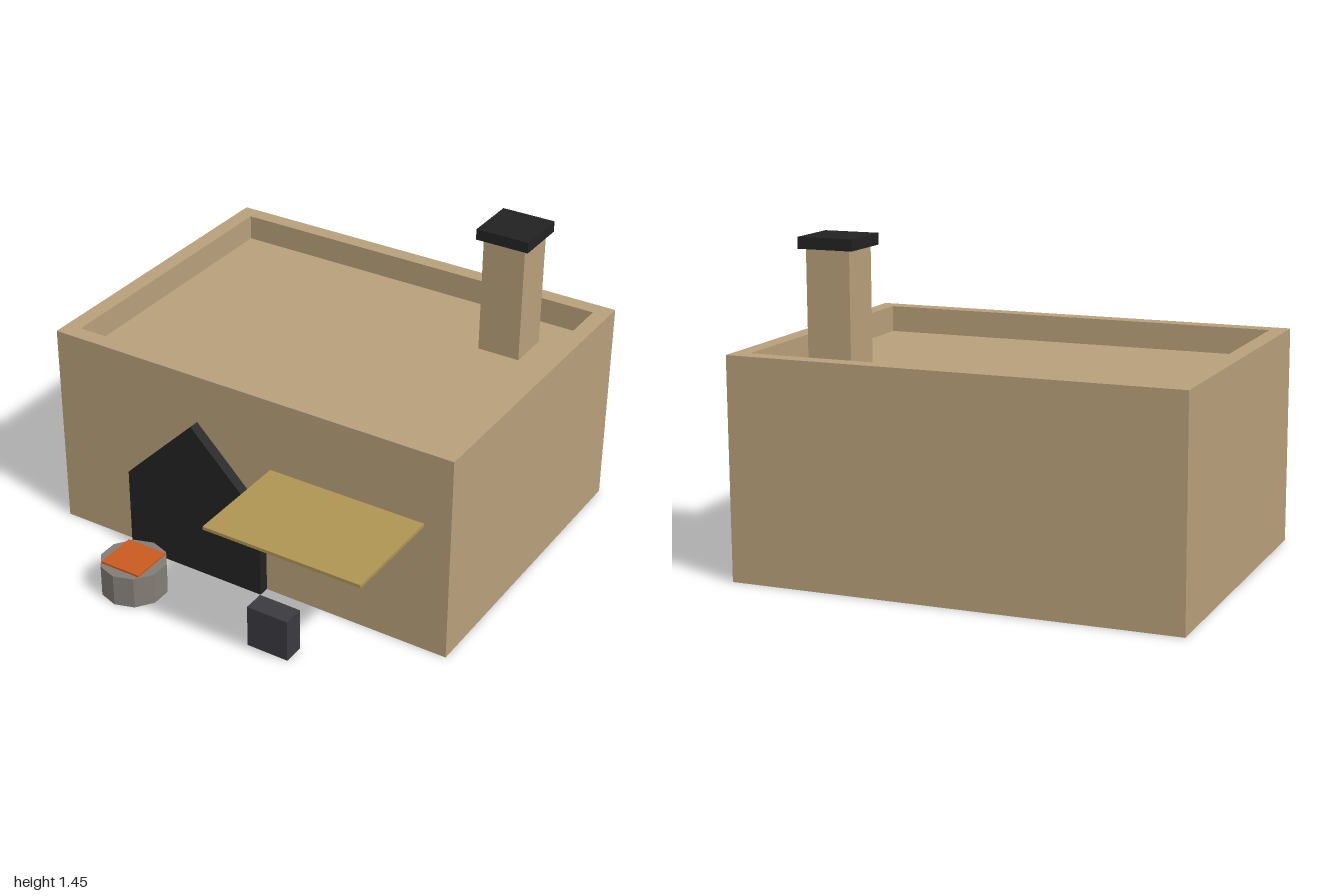
import * as THREE from 'three';

const material = (name, color) => {
  const m = new THREE.MeshStandardMaterial({ color });
  m.name = name;
  return m;
};

export function createModel() {
  const model = new THREE.Group();
  model.name = 'house';
  const clay = material('clay', 0xb8a07a);
  const black = material('black', 0x222222);
  const slate = material('slate', 0x3a3a40);
  const straw = material('straw', 0xae9553);
  const stone = material('stone', 0x827d76);
  const ember = material('ember', 0xc85a20);

  const add = (name, geometry, mat) => {
    const mesh = new THREE.Mesh(geometry, mat);
    mesh.name = name;
    model.add(mesh);
    return mesh;
  };
  // Box given by its low and high limits on each axis
  const box = (name, mat, [x0, x1], [y0, y1], [z0, z1]) =>
    add(name, new THREE.BoxGeometry(x1 - x0, y1 - y0, z1 - z0), mat)
      .position.set((x0 + x1) / 2, (y0 + y1) / 2, (z0 + z1) / 2);
  const corners = (x, y) => [[-x, -y], [x, -y], [x, y], [-x, y]].map(p => new THREE.Vector2(...p));

  // Walls rising past the roof as a parapet
  const plan = new THREE.Shape(corners(1, 0.75));
  plan.holes.push(new THREE.Path(corners(0.925, 0.675).reverse()));
  const walls = new THREE.ExtrudeGeometry(plan, { depth: 0.975, bevelEnabled: false });
  walls.rotateX(-Math.PI / 2);
  add('walls', walls, clay).position.z = -0.25;

  // Sunken flat roof, filled down to the ground
  box('roof', clay, [-0.925, 0.925], [0, 0.855], [-0.925, 0.425]);

  // Chimney
  box('chimney', clay, [0.55, 0.75], [0.855, 1.4], [-0.75, -0.55]);
  box('chimneyCap', black, [0.525, 0.775], [1.4, 1.45], [-0.775, -0.525]);

  // Pointed doorway
  const arch = new THREE.Shape([[-0.6, 0], [0.1, 0], [0.1, 0.4], [-0.25, 0.75], [-0.6, 0.4]]
    .map(p => new THREE.Vector2(...p)));
  add('doorway', new THREE.ExtrudeGeometry(arch, { depth: 0.05, bevelEnabled: false }), black)
    .position.z = 0.5;

  // Awning and the block beneath it
  box('awning', straw, [0.125, 0.875], [0.62, 0.635], [0.5, 1]);
  box('block', slate, [0.25, 0.45], [0, 0.2], [0.775, 0.875]);

  // Ten-sided fire pit with embers on top
  const pitStone = stone;
  pitStone.flatShading = true;
  add('firePit', new THREE.CylinderGeometry(0.15, 0.15, 0.15, 10), pitStone)
    .position.set(-0.4, 0.075, 0.8);
  box('embers', ember, [-0.5, -0.3], [0.152, 0.161], [0.7, 0.9]);

  return model;
}
